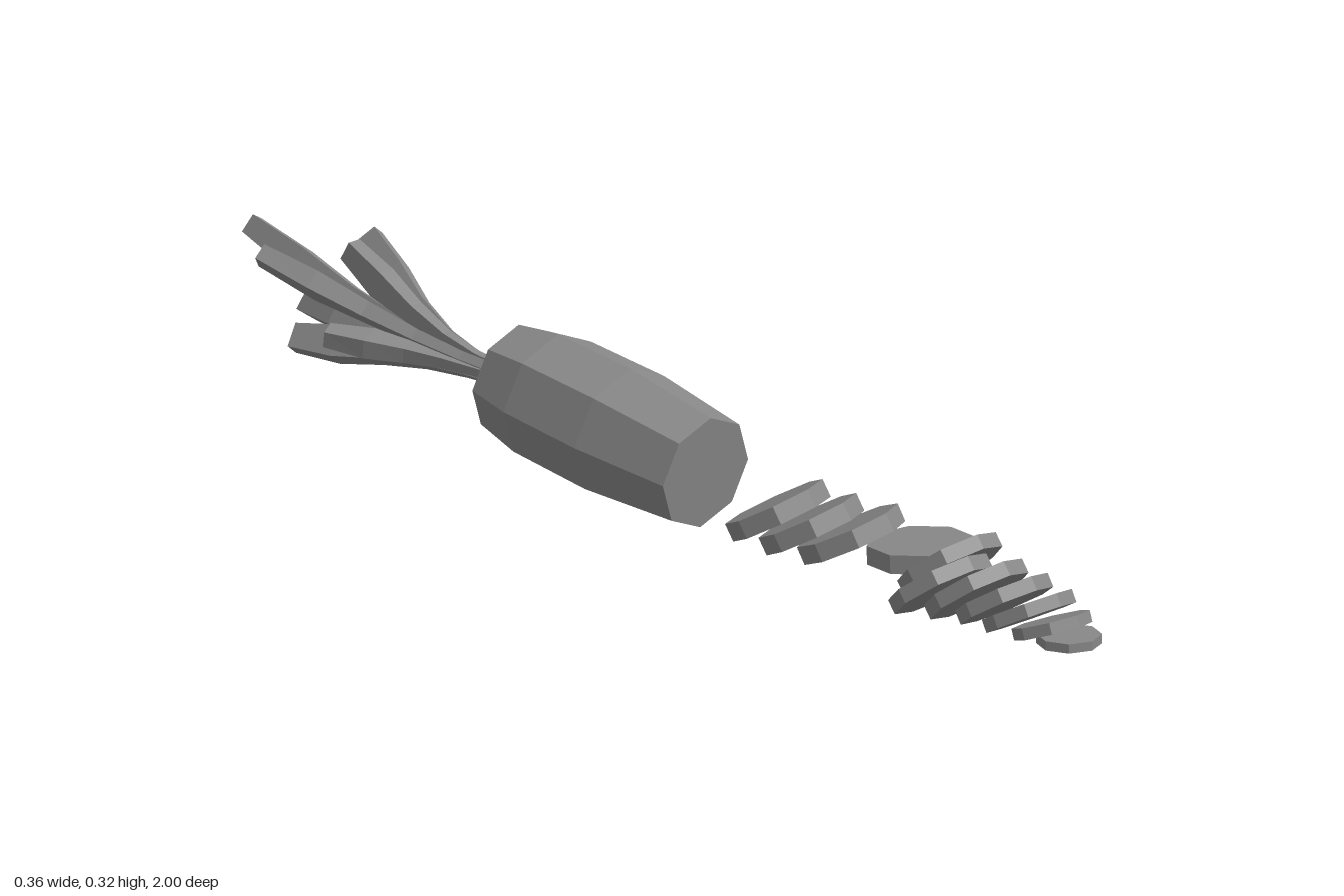
import * as THREE from 'three';

const material = new THREE.MeshStandardMaterial({ color: 0x888888, flatShading: true });

function addMesh(parent, name, geometry) {
  const flat = geometry.toNonIndexed();
  flat.computeVertexNormals();
  const mesh = new THREE.Mesh(flat, material);
  mesh.name = name;
  parent.add(mesh);
  return mesh;
}

// Linear lookup in an evenly spaced list, t in 0..1
function sample(list, t) {
  const f = Math.min(t, 0.9999) * (list.length - 1);
  const i = Math.floor(f);
  return THREE.MathUtils.lerp(list[i], list[i + 1], f - i);
}

// A stalk that leaves the crown straight, then flares outward and broadens into a blunt blade
function stalkGeometry(tip, scale) {
  const base = new THREE.Vector3(-0.065, 0.172, -0.355);
  const delta = new THREE.Vector3(...tip).sub(base);
  const radial = new THREE.Vector3(delta.x, delta.y - 0.03, 0).normalize();
  const path = (t) => new THREE.Vector3(
    base.x + radial.x * 0.01 + delta.x * t ** 2,
    base.y + radial.y * 0.01 + delta.y * t ** 1.8,
    base.z + delta.z * t);
  const geometry = new THREE.BoxGeometry(1, 1, 1, 1, 1, 5);
  const pos = geometry.attributes.position;
  for (let i = 0; i < pos.count; i++) {
    const t = pos.getZ(i) + 0.5;
    const tangent = path(t + 0.01).sub(path(Math.max(t - 0.01, 0))).normalize();
    const side = new THREE.Vector3(-radial.y, radial.x, 0);
    side.addScaledVector(tangent, -side.dot(tangent)).normalize();
    const up = tangent.clone().cross(side);
    const p = path(t)
      .addScaledVector(side, pos.getX(i) * sample([0.016, 0.016, 0.02, 0.027, 0.034, 0.028], t) * scale)
      .addScaledVector(up, pos.getY(i) * sample([0.016, 0.018, 0.022, 0.036, 0.056, 0.042], t) * scale);
    pos.setXYZ(i, p.x, p.y, p.z);
  }
  return geometry;
}

export function createModel() {
  const model = new THREE.Group();
  model.name = 'slicedCarrot';

  // Uncut root, eight-sided, with the cut face towards the front
  const profile = [[0, 0], [0.098, 0], [0.115, 0.19], [0.112, 0.36], [0.095, 0.45], [0.048, 0.479], [0, 0.484]];
  const root = addMesh(model, 'root',
    new THREE.LatheGeometry(profile.map(([r, h]) => new THREE.Vector2(r, h)), 8));
  root.position.set(-0.065, 0.118, 0.102);
  root.rotation.x = -Math.PI / 2 + 0.125;

  // Leaf stalks: tip position and thickness scale
  const stalks = new THREE.Group();
  stalks.name = 'stalks';
  model.add(stalks);
  [
    [[-0.03, 0.262, -0.995], 0.8],
    [[-0.148, 0.28, -0.84], 1],
    [[-0.065, 0.294, -0.725], 0.9],
    [[0.008, 0.29, -0.76], 0.9],
    [[0.062, 0.235, -0.82], 1.1],
    [[-0.158, 0.193, -0.675], 0.95],
    [[0.01, 0.148, -0.9], 1.1],
    [[-0.105, 0.15, -0.805], 1],
  ].forEach(([tip, scale]) => addMesh(stalks, 'stalk', stalkGeometry(tip, scale)));

  // Slices: x, y, z, radius, tilt, spin, roll, thickness
  const slices = new THREE.Group();
  slices.name = 'slices';
  model.add(slices);
  [
    [-0.02, 0.072, 0.225, 0.088, 0.47, 0, 0.15, 0.032],
    [-0.02, 0.067, 0.303, 0.088, 0.47, 0.05, 0.15, 0.032],
    [0.005, 0.06, 0.37, 0.09, 0.44, 0.1, 0.15, 0.032],
    [0.09, 0.03, 0.446, 0.09, 0.05, 0.2, 0, 0.032],
    [-0.005, 0.07, 0.61, 0.09, 0.66, 0, 0, 0.026],
    [-0.088, 0.07, 0.672, 0.089, 0.64, 0, 0, 0.026],
    [-0.065, 0.07, 0.732, 0.089, 0.64, 0, 0, 0.026],
    [-0.065, 0.069, 0.797, 0.082, 0.56, 0, 0, 0.025],
    [-0.065, 0.062, 0.855, 0.078, 0.48, 0, 0, 0.023],
    [-0.065, 0.05, 0.908, 0.066, 0.34, 0, 0, 0.02],
    [-0.065, 0.037, 0.948, 0.054, 0, 0, 0, 0.016],
  ].forEach(([x, y, z, radius, tilt, spin, roll, thickness]) => {
    const slice = addMesh(slices, 'slice', new THREE.CylinderGeometry(radius, radius, thickness, 8));
    slice.position.set(x, y, z);
    slice.rotation.set(-tilt, spin, roll);
  });

  return model;
}
